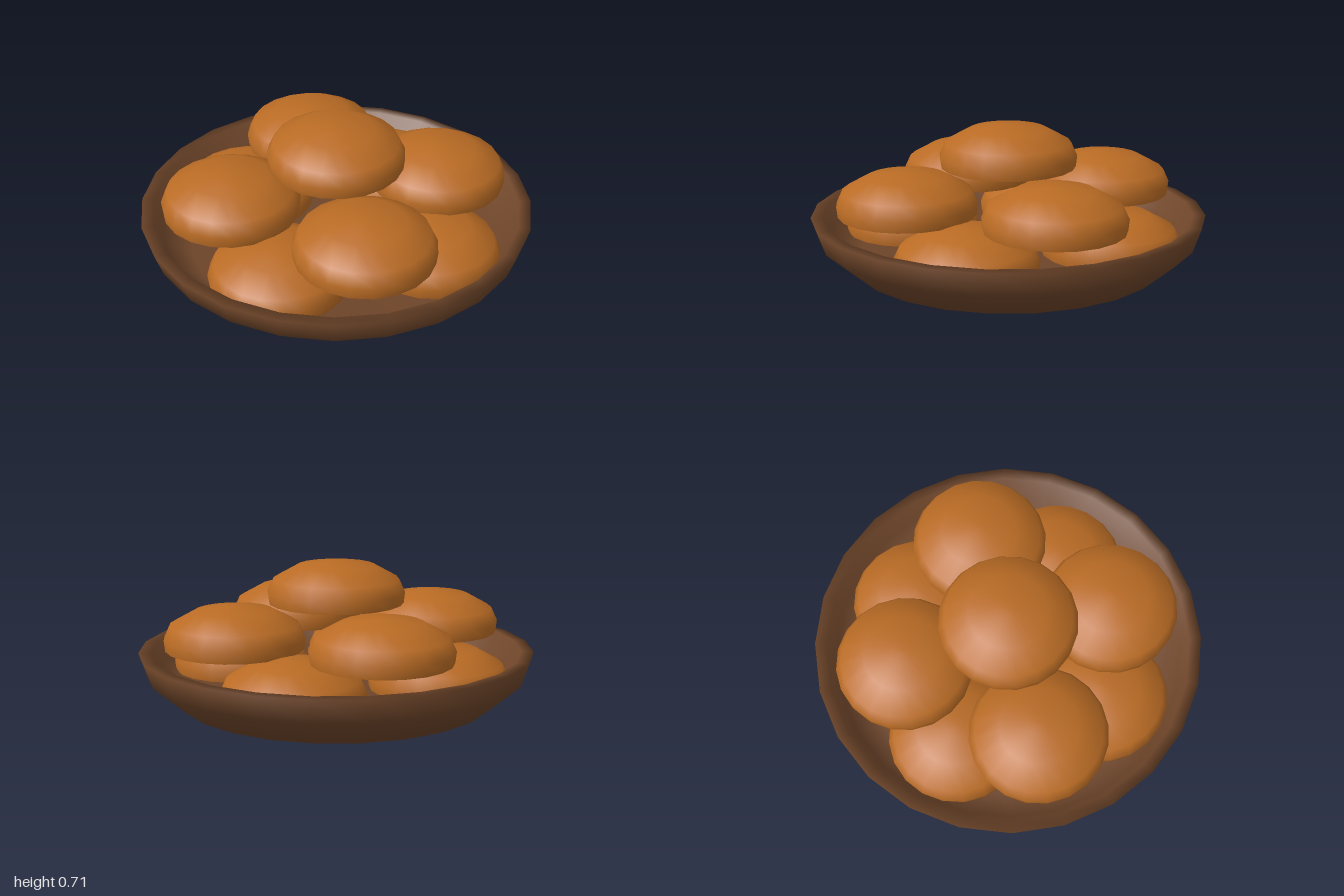
import * as THREE from 'three';

const crust = new THREE.MeshStandardMaterial({ color: 0xb96b24 });
crust.name = 'bakedCrust';
const wood = new THREE.MeshStandardMaterial({ color: 0x6e4529 });
wood.name = 'brownWood';

const profile = (pairs) => pairs.map(([r, y]) => new THREE.Vector2(r, y));

const BUN_RADIUS = 0.343;
const domeGeometry = new THREE.LatheGeometry(
  profile([[BUN_RADIUS, 0], [0.349, 0.055], [0.318, 0.122], [0.195, 0.19], [0.05, 0.212], [0, 0.213]]), 20);
const baseGeometry = new THREE.CircleGeometry(BUN_RADIUS, 20).rotateX(Math.PI / 2);

// Domed bun with a flat underside
function makeBun(name, x, y, z) {
  const bun = new THREE.Group();
  bun.name = name;
  const dome = new THREE.Mesh(domeGeometry, crust);
  dome.name = 'bunDome';
  const base = new THREE.Mesh(baseGeometry, crust);
  base.name = 'bunBase';
  bun.add(dome, base);
  bun.position.set(x, y, z);
  return bun;
}

export function createModel() {
  const model = new THREE.Group();
  model.name = 'bowlOfBuns';

  // Shallow bowl: underside, outer wall, rim, inner wall and floor
  const bowl = new THREE.Mesh(new THREE.LatheGeometry(profile([
    [0, 0], [0.8, 0], [0.96, 0.14], [1, 0.26],
    [0.94, 0.26], [0.9, 0.16], [0.76, 0.06], [0, 0.06],
  ]), 24), wood);
  bowl.name = 'bowl';
  model.add(bowl);

  // Two rings of four buns, the upper one turned by an eighth
  const rings = [
    { name: 'lowerBun', radius: 0.543, y: 0.105, turn: 0 },
    { name: 'middleBun', radius: 0.543, y: 0.305, turn: Math.PI / 4 },
  ];
  for (const { name, radius, y, turn } of rings) {
    for (let i = 0; i < 4; i++) {
      const a = turn + i * Math.PI / 2;
      model.add(makeBun(name + (i + 1), radius * Math.cos(a), y, radius * Math.sin(a)));
    }
  }

  // Single bun on top
  model.add(makeBun('topBun', 0, 0.495, 0));
  return model;
}
